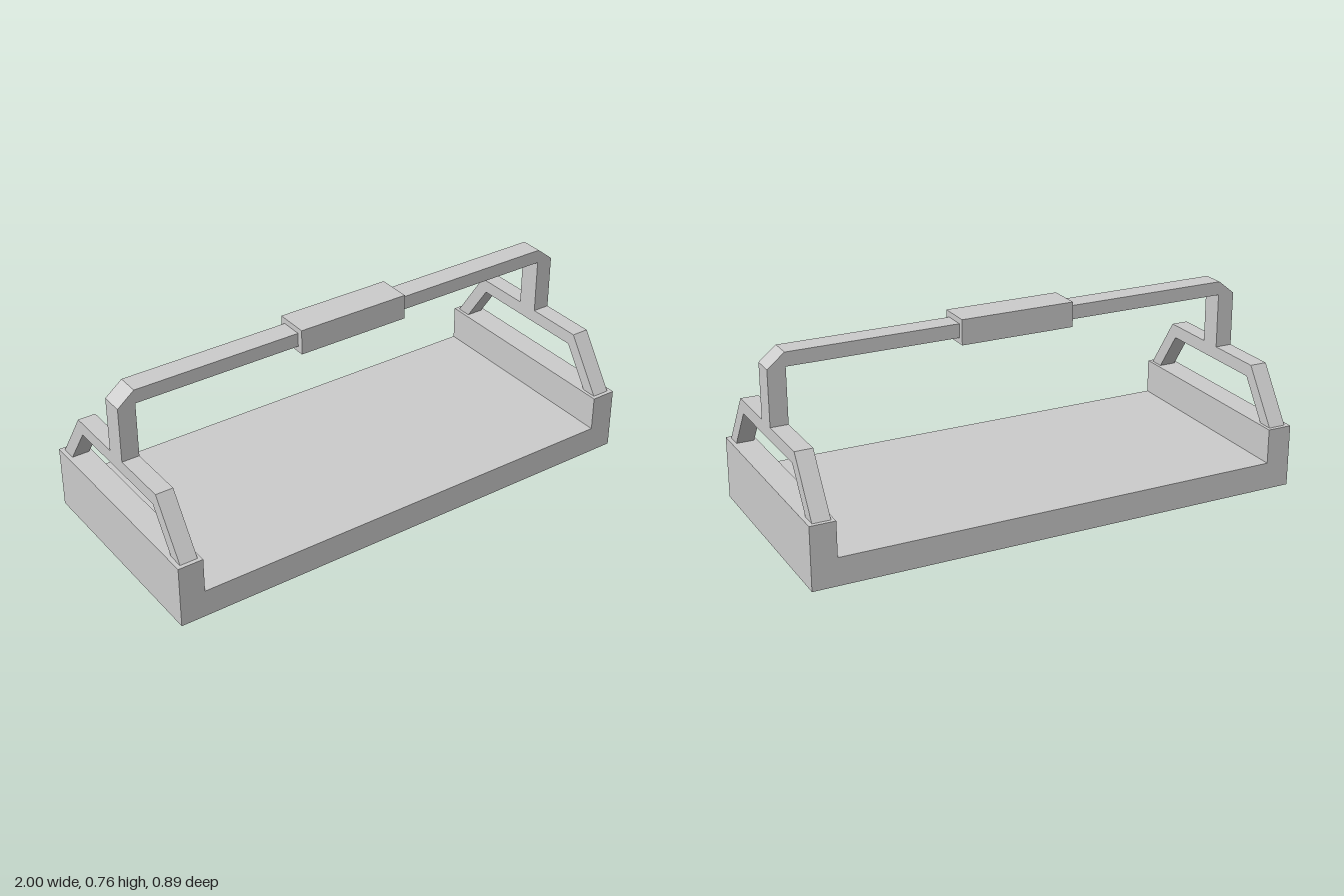
import * as THREE from 'three';

const material = new THREE.MeshStandardMaterial({ color: 0xcccccc, flatShading: true });

// Extrude a closed outline, centred on its own depth
function extrude(points, depth) {
  const shape = new THREE.Shape(points.map(([x, y]) => new THREE.Vector2(x, y)));
  const geometry = new THREE.ExtrudeGeometry(shape, { depth, bevelEnabled: false });
  return geometry.translate(0, 0, -depth / 2);
}

// Complete a half outline (given from right base to right top) by mirroring it in x
const mirrored = (half) => [...half, ...half.map(([x, y]) => [-x, y]).reverse()];

function createModel() {
  const group = new THREE.Group();
  const add = (name, geometry, x = 0, y = 0, z = 0) => {
    const mesh = new THREE.Mesh(geometry, material);
    mesh.name = name;
    mesh.position.set(x, y, z);
    group.add(mesh);
  };

  // Tray: flat floor with a raised wall at each end
  add('tray', extrude(mirrored([[1, 0], [1, 0.25], [0.9, 0.25], [0.9, 0.11]]), 0.894));

  // Trapezoid brackets standing on the end walls
  const outer = mirrored([[0.431, 0.25], [0.286, 0.463]]);
  const inner = mirrored([[0.369, 0.25], [0.26, 0.41]]).reverse();
  const bracket = extrude([...outer, ...inner], 0.07).rotateY(-Math.PI / 2);
  add('leftBracket', bracket, 0.948);
  add('rightBracket', bracket, -0.948);

  // Handle: two posts joined by a crossbar with chamfered corners
  const handleOuter = mirrored([[0.983, 0.463], [0.983, 0.683], [0.915, 0.738]]);
  const handleInner = mirrored([[0.913, 0.463], [0.913, 0.683]]).reverse();
  add('handle', extrude([...handleOuter, ...handleInner], 0.089), 0, 0, 0.003);

  // Thicker grip in the middle of the crossbar
  add('grip', new THREE.BoxGeometry(0.467, 0.1, 0.135), -0.001, 0.71, 0.004);

  return group;
}

export { createModel };
